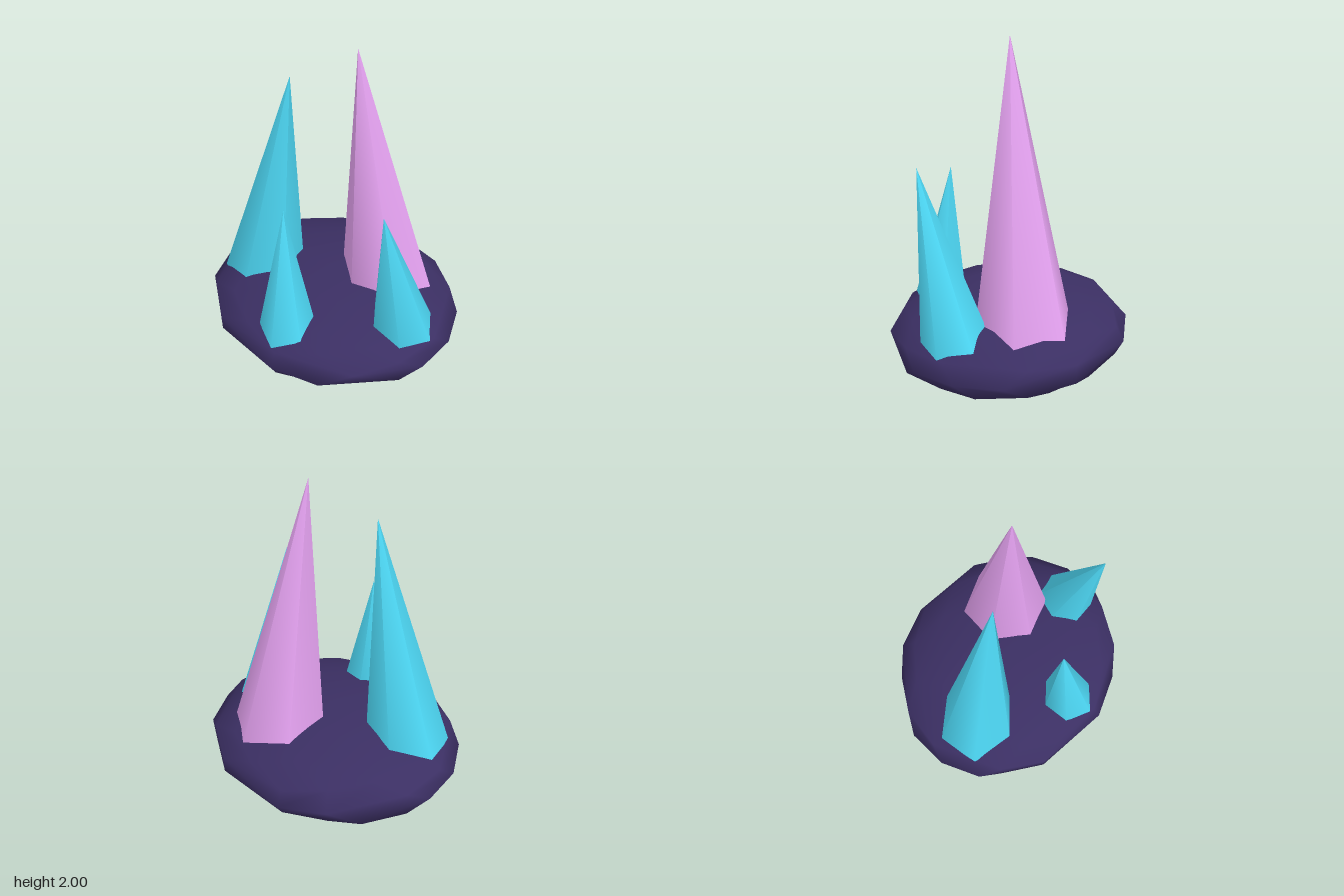
import * as THREE from 'three';

const UP = new THREE.Vector3(0, 1, 0);

// Leaning six-sided spike: tip, centre of its ring at ground level, ring radius, twist in degrees
function makeCrystal(name, material, tip, foot, radius, twist) {
  const top = new THREE.Vector3(...tip);
  const axis = top.clone().sub(new THREE.Vector3(...foot));
  const sink = 1.08; // carries the foot on into the rock
  const height = axis.length() * sink;
  const geometry = new THREE.ConeGeometry(radius * sink, height, 6);
  geometry.rotateY(THREE.MathUtils.degToRad(twist));
  geometry.translate(0, -height / 2, 0); // pivot at the tip

  const mesh = new THREE.Mesh(geometry, material);
  mesh.name = name;
  mesh.position.copy(top);
  mesh.quaternion.setFromUnitVectors(UP, axis.normalize());
  return mesh;
}

export function createModel() {
  const group = new THREE.Group();
  group.name = 'crystalCluster';

  const rock = new THREE.MeshStandardMaterial({ color: 0x3b2f63 });
  const pink = new THREE.MeshStandardMaterial({ color: 0xe6a3f2 });
  const blue = new THREE.MeshStandardMaterial({ color: 0x4dd8f5 });

  // Flattened, smooth-shaded rock
  const base = new THREE.Mesh(new THREE.DodecahedronGeometry(1, 1), rock);
  base.name = 'rockBase';
  base.scale.set(0.82, 0.25, 0.72);
  base.position.y = 0.25;
  group.add(base);

  // Crystals
  group.add(
    makeCrystal('mainCrystal', pink, [0.12, 2, -0.05], [0.275, 0.42, -0.19], 0.285, 40),
    makeCrystal('tallCrystal', blue, [-0.23, 1.8, 0.06], [-0.465, 0.41, 0.06], 0.243, 0),
    makeCrystal('smallCrystal', blue, [-0.07, 1.19, 0.41], [-0.035, 0.39, 0.475], 0.167, 0),
    makeCrystal('sideCrystal', blue, [0.5, 1.32, 0.34], [0.546, 0.37, 0.117], 0.192, 24),
  );

  return group;
}
